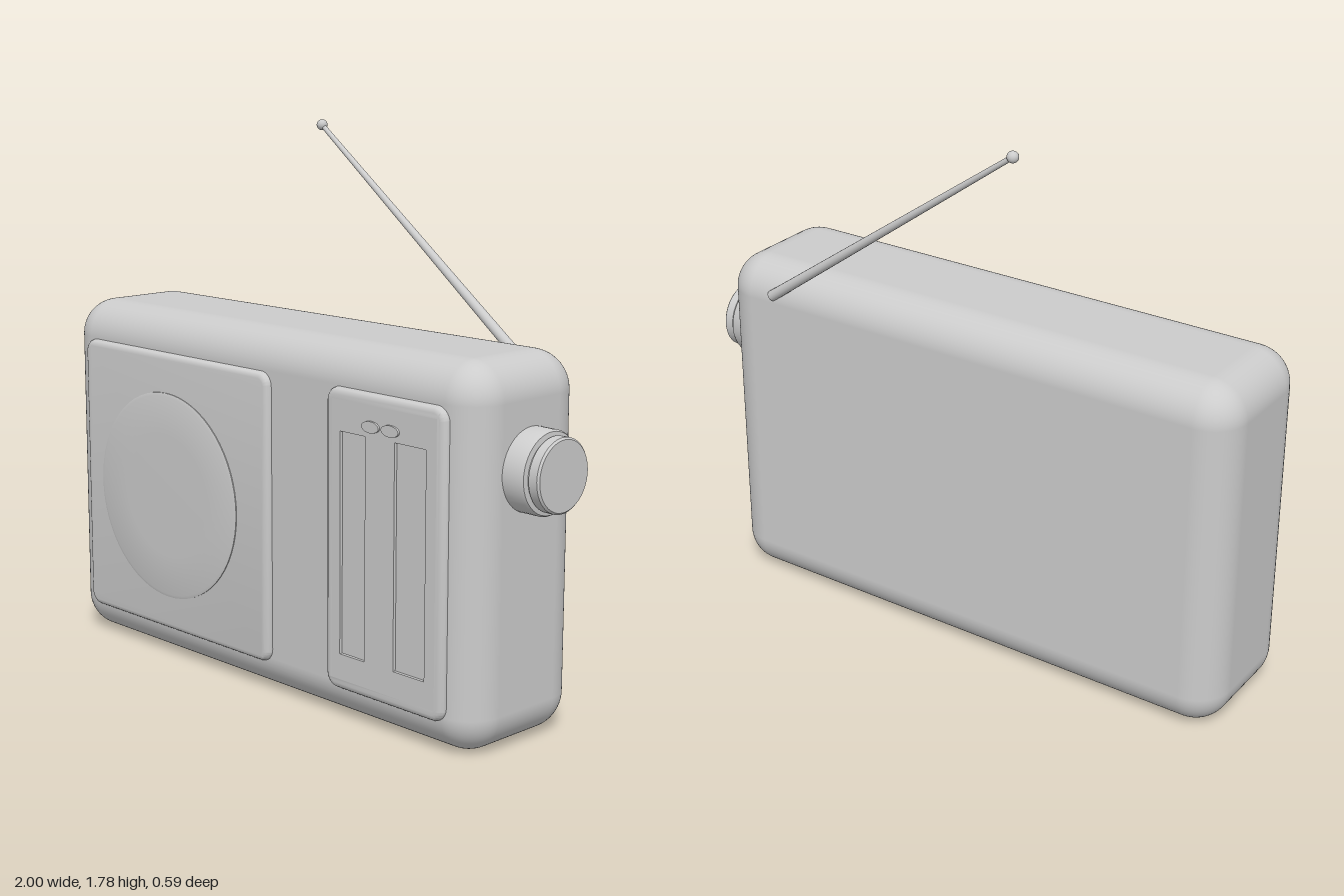
import * as THREE from 'three';
import { toCreasedNormals } from 'three/addons/utils/BufferGeometryUtils.js';
import { RoundedBoxGeometry } from 'three/addons/geometries/RoundedBoxGeometry.js';

const material = new THREE.MeshStandardMaterial({ color: 0xcccccc });
const FACE = 0.285; // front plane of the raised panels

function add(parent, name, geometry, x = 0, y = 0, z = 0) {
  const mesh = new THREE.Mesh(geometry, material);
  mesh.name = name;
  mesh.position.set(x, y, z);
  parent.add(mesh);
  return mesh;
}

function rectangle(x0, x1, y0, y1, r, Type = THREE.Shape) {
  const s = new Type();
  s.moveTo(x0 + r, y0).lineTo(x1 - r, y0);
  if (r) s.absarc(x1 - r, y0 + r, r, -Math.PI / 2, 0);
  s.lineTo(x1, y1 - r);
  if (r) s.absarc(x1 - r, y1 - r, r, 0, Math.PI / 2);
  s.lineTo(x0 + r, y1);
  if (r) s.absarc(x0 + r, y1 - r, r, Math.PI / 2, Math.PI);
  s.lineTo(x0, y0 + r);
  if (r) s.absarc(x0 + r, y0 + r, r, Math.PI, Math.PI * 1.5);
  s.closePath();
  return s;
}

// Panel with a softly rounded outer edge
function panel(x0, x1, y0, y1, window) {
  const b = 0.02;
  const shape = rectangle(x0 + b, x1 - b, y0 + b, y1 - b, 0.025);
  if (window) shape.holes.push(window);
  const g = new THREE.ExtrudeGeometry(shape, {
    depth: 0.04, bevelSize: b, bevelThickness: b, bevelSegments: 4, curveSegments: 8,
  });
  g.translate(0, 0, FACE - 0.04 - b);
  return toCreasedNormals(g, 0.6);
}

// Turned part with its axis along +y
function turned(points, segments = 48) {
  const g = new THREE.LatheGeometry(points.map(p => new THREE.Vector2(...p)), segments);
  return toCreasedNormals(g, 0.6);
}

export function createModel() {
  const radio = new THREE.Group();
  radio.name = 'radio';

  // Rounded case
  add(radio, 'case', new RoundedBoxGeometry(1.88, 1.165, 0.48, 8, 0.12), -0.06, 0.5825, 0.025);

  // Speaker panel and slightly domed speaker
  add(radio, 'speakerPanel', panel(-0.89, 0.035, 0.105, 1.04));
  const speaker = turned([[0.345, -0.02], [0.345, 0.003], [0.335, 0.006], [0.2, 0.007], [0, 0.007]], 64);
  add(radio, 'speaker', speaker, -0.455, 0.565, FACE).rotation.x = Math.PI / 2;

  // Tuning panel: rounded frame, face plate with two slots, recessed floor
  const win = [0.325, 0.75, 0.14, 1.005];
  add(radio, 'tuningPanelFrame', panel(0.295, 0.78, 0.105, 1.04, rectangle(...win, 0, THREE.Path)));
  const plate = rectangle(...win, 0);
  for (const [x0, x1] of [[0.36, 0.465], [0.585, 0.71]]) {
    plate.holes.push(rectangle(x0, x1, 0.22, 0.91, 0, THREE.Path));
    add(radio, 'tuningSlotFloor', new THREE.BoxGeometry(x1 - x0 + 0.01, 0.7, 0.02),
      (x0 + x1) / 2, 0.565, FACE - 0.02);
  }
  const plateGeometry = new THREE.ExtrudeGeometry(plate, { depth: 0.03, bevelEnabled: false });
  add(radio, 'tuningPlate', plateGeometry, 0, 0, FACE - 0.03);

  // Small oval buttons above the slots
  for (const x of [0.49, 0.57]) {
    const button = add(radio, 'button', new THREE.CylinderGeometry(0.035, 0.035, 0.02, 24), x, 0.942, FACE - 0.003);
    button.rotation.x = Math.PI / 2;
    button.scale.z = 0.5;
  }

  // Stepped side knob
  const knob = turned([
    [0.127, -0.03], [0.127, 0.065], [0.122, 0.074], [0.105, 0.076], [0.105, 0.08],
    [0.112, 0.084], [0.112, 0.114], [0.106, 0.12], [0, 0.12],
  ]);
  add(radio, 'knob', knob, 0.88, 0.84, 0.025).rotation.z = -Math.PI / 2;

  // Tapered antenna with ball tip
  const base = new THREE.Vector3(0.67, 1.07, -0.21);
  const tip = new THREE.Vector3(-0.305, 1.762, -0.275);
  const along = tip.clone().sub(base);
  const mid = base.clone().add(tip).multiplyScalar(0.5);
  const rod = add(radio, 'antenna', new THREE.CylinderGeometry(0.008, 0.018, along.length(), 16), mid.x, mid.y, mid.z);
  rod.quaternion.setFromUnitVectors(new THREE.Vector3(0, 1, 0), along.normalize());
  add(radio, 'antennaTip', new THREE.SphereGeometry(0.018, 16, 12), tip.x, tip.y, tip.z);

  return radio;
}
